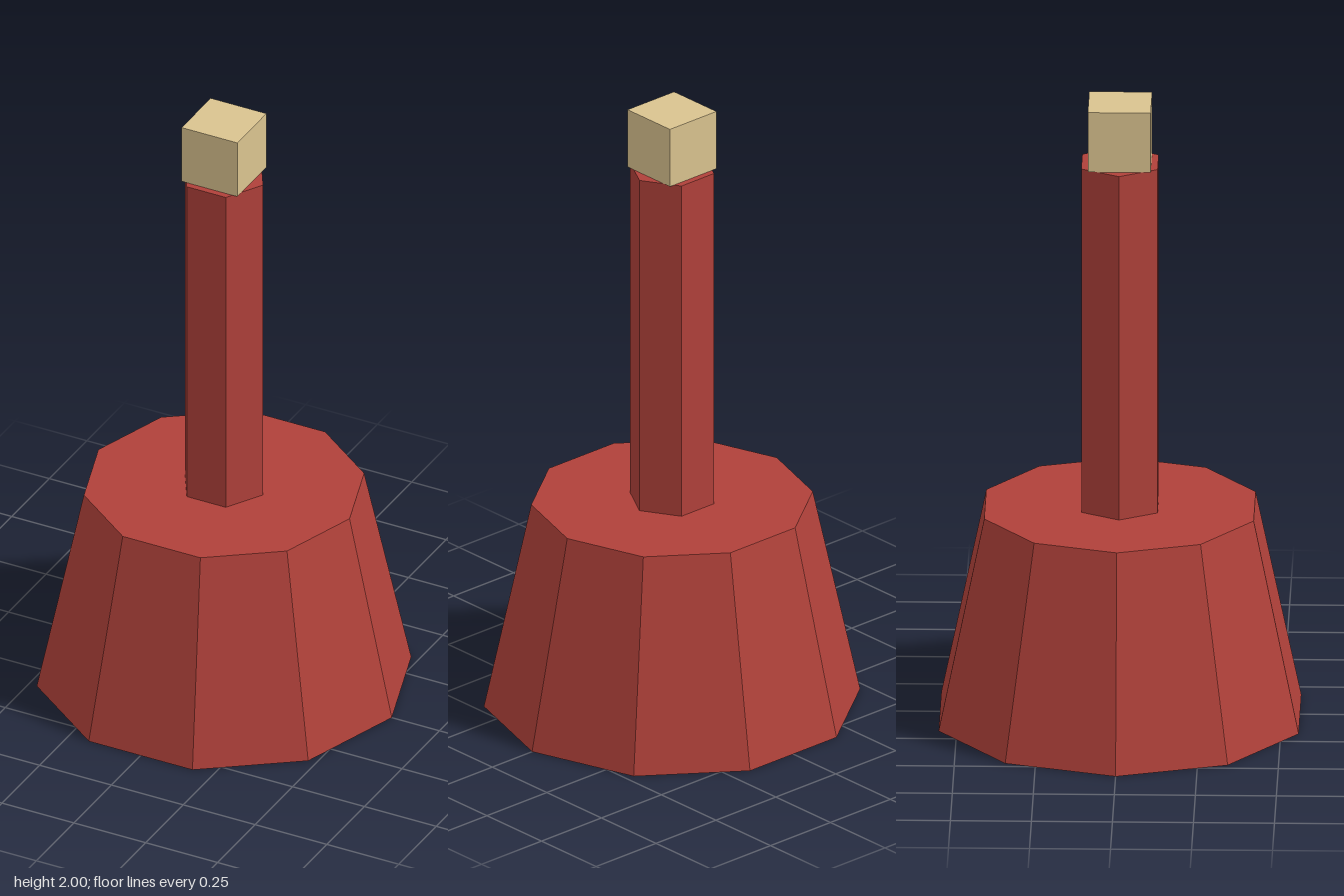
import * as THREE from 'three';

const red = new THREE.MeshStandardMaterial({ name: 'red', color: 0xb0413a, flatShading: true });
const tan = new THREE.MeshStandardMaterial({ name: 'tan', color: 0xdac38f, flatShading: true });

const BASE_TOP = 0.68;
const SHAFT_TOP = 1.805;

// Faceted upright prism with corners on the x axis, standing between two heights
function prism(name, topRadius, bottomRadius, y0, y1, sides) {
  const geometry = new THREE.CylinderGeometry(
    topRadius, bottomRadius, y1 - y0, sides, 1, false, Math.PI / 2);
  const mesh = new THREE.Mesh(geometry, red);
  mesh.name = name;
  mesh.position.y = (y0 + y1) / 2;
  return mesh;
}

export function createModel() {
  const model = new THREE.Group();
  model.name = 'taperedPost';

  // Ten-sided tapered base and six-sided shaft
  model.add(prism('base', 0.437, 0.584, 0, BASE_TOP, 10));
  model.add(prism('shaft', 0.136, 0.136, BASE_TOP, SHAFT_TOP, 6));

  // Square cap on the shaft
  const capHeight = 2 - SHAFT_TOP;
  const cap = new THREE.Mesh(new THREE.BoxGeometry(0.194, capHeight, 0.194), tan);
  cap.name = 'cap';
  cap.position.y = SHAFT_TOP + capHeight / 2;
  model.add(cap);

  return model;
}
